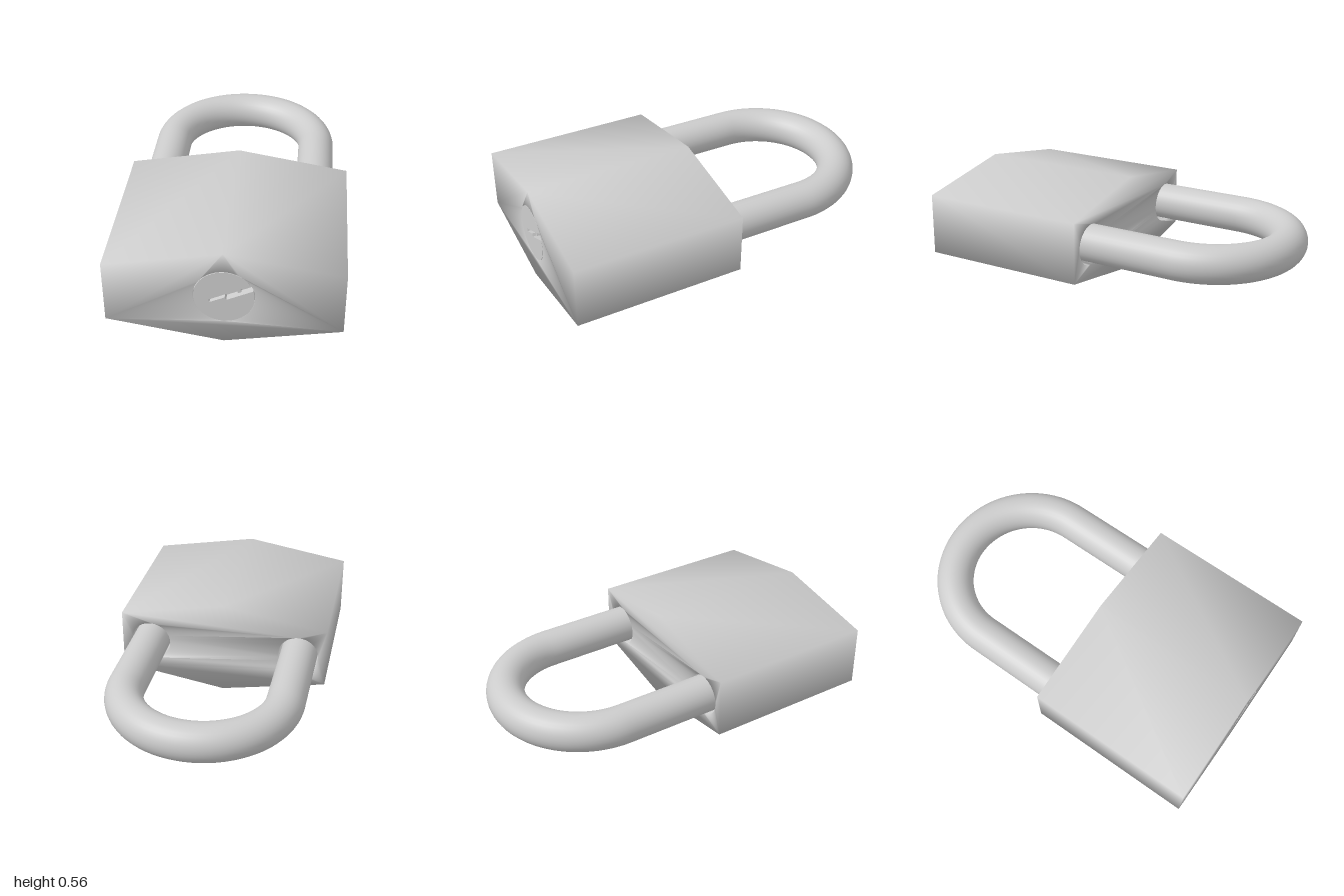
import * as THREE from 'three';
import { mergeGeometries, mergeVertices } from 'three/addons/utils/BufferGeometryUtils.js';

const BACK = 0.045, FRONT = 0.995;
const V = (x, y) => new THREE.Vector2(x, y);

// Points around a circle, clockwise (the winding of a hole)
function ring(cx, cy, r, n = 32) {
  return Array.from({ length: n }, (_, i) => {
    const a = -i / n * Math.PI * 2;
    return V(cx + r * Math.cos(a), cy + r * Math.sin(a));
  });
}

// Flat face at depth z, facing +z or (flipped) -z
function cap(points, holes, z, flip) {
  const shape = new THREE.Shape(points);
  shape.holes = holes.map(h => new THREE.Path(h));
  const g = new THREE.ShapeGeometry(shape).translate(0, 0, z);
  if (flip) g.setIndex(Array.from(g.index.array).reverse());
  return g;
}

// Wall along a closed outline; counter-clockwise faces out, clockwise faces in
function wall(points, z0, z1) {
  const pos = [], index = [], n = points.length;
  points.forEach(p => pos.push(p.x, p.y, z0, p.x, p.y, z1));
  for (let i = 0; i < n; i++) {
    const a = i * 2, b = ((i + 1) % n) * 2;
    index.push(a, b, b + 1, a, b + 1, a + 1);
  }
  const g = new THREE.BufferGeometry();
  g.setAttribute('position', new THREE.Float32BufferAttribute(pos, 3));
  g.setIndex(index);
  return g;
}

// Six-sided body with one shallow front bore and two shackle bores, smooth normals throughout
function bodyGeometry() {
  const hex = [V(0.6, -0.172), V(0.6, 0.172), V(0, 0.275), V(-0.6, 0.172), V(-0.6, -0.172), V(0, -0.275)];
  const lockHole = ring(0.003, 0.01, 0.156, 48);
  const legHoles = [-0.44, 0.43].map(x => ring(x, 0.003, 0.116));
  const lockFloor = FRONT - 0.04, legFloor = BACK + 0.2;
  const parts = [
    wall(hex, BACK, FRONT),
    cap(hex, [lockHole], FRONT, false),
    cap(hex, legHoles, BACK, true),
    wall(lockHole, lockFloor, FRONT),
    cap(lockHole, [], lockFloor, false),
  ];
  for (const h of legHoles) parts.push(wall(h, BACK, legFloor), cap(h, [], legFloor, true));
  for (const g of parts) {
    g.deleteAttribute('normal');
    g.deleteAttribute('uv');
  }
  const merged = mergeVertices(mergeGeometries(parts));
  merged.computeVertexNormals();
  return merged;
}

// Lock plug: a disc cut from its rim by a stepped key slot
function plugGeometry() {
  const r = 0.1525, a0 = 0.565, a1 = 0.303 + Math.PI * 2, n = 48;
  const points = [];
  for (let i = 0; i <= n; i++) {
    const a = a0 + (a1 - a0) * i / n;
    points.push(V(r * Math.cos(a), r * Math.sin(a)));
  }
  points.push(
    V(0.012, -0.017), V(0.004, -0.002), V(-0.071, -0.036), V(-0.078, -0.022),
    V(0.064, 0.046), V(0.07, 0.03), V(0.087, 0.038), V(0.081, 0.054));
  return new THREE.ExtrudeGeometry(new THREE.Shape(points), { depth: 0.04, bevelEnabled: false });
}

// U-shaped shackle path: straight leg, half circle, straight leg
function shacklePath() {
  const R = 0.435, turn = -0.46, end = 0.26;
  const leg = end - turn, arc = Math.PI * R, total = 2 * leg + arc;
  const path = new THREE.Curve();
  path.getPoint = (t, target = new THREE.Vector3()) => {
    const s = t * total;
    if (s < leg) return target.set(-R, 0, end - s);
    if (s > leg + arc) return target.set(R, 0, turn + s - leg - arc);
    const a = (s - leg) / R;
    return target.set(-R * Math.cos(a), 0, turn - R * Math.sin(a));
  };
  return path;
}

export function createModel() {
  const model = new THREE.Group();
  model.name = 'padlock';
  const padlock = new THREE.Group();
  padlock.name = 'tiltedPadlock';
  model.add(padlock);
  const material = new THREE.MeshStandardMaterial({ color: 0xcccccc });

  const add = (name, geometry, x, y, z) => {
    const mesh = new THREE.Mesh(geometry, material);
    mesh.name = name;
    mesh.position.set(x, y, z);
    padlock.add(mesh);
  };
  add('body', bodyGeometry(), 0, 0, 0);
  add('lockPlug', plugGeometry(), 0.003, 0.01, FRONT - 0.04);
  add('shackle', new THREE.TubeGeometry(shacklePath(), 96, 0.105, 32), -0.01, 0.012, 0);

  // The padlock lies with its front raised very slightly
  padlock.rotation.x = -0.0158;
  padlock.position.y = 0.2743;
  return model;
}
